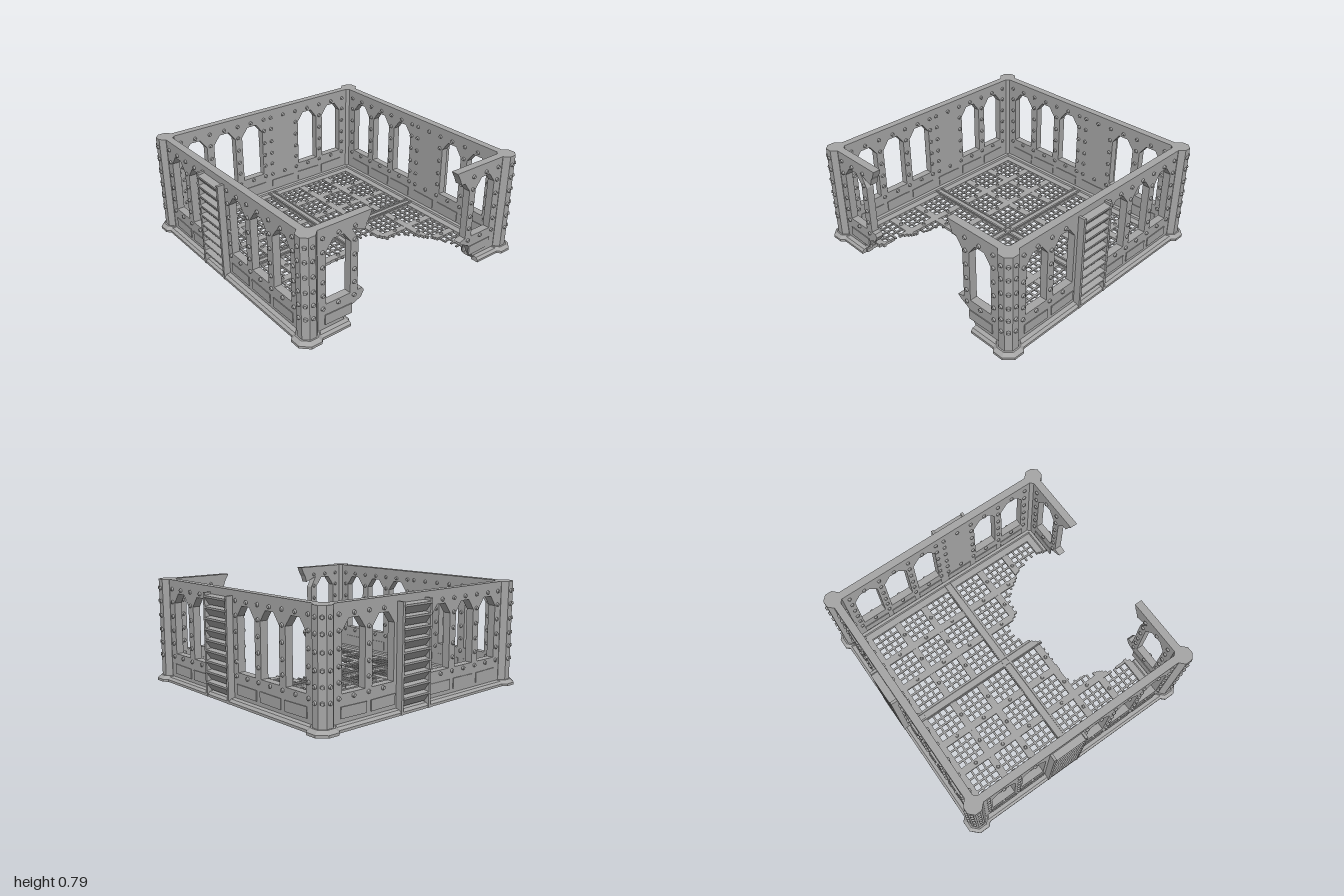
import * as THREE from 'three';
import { mergeGeometries } from 'three/addons/utils/BufferGeometryUtils.js';

const stone = new THREE.MeshStandardMaterial({ color: 0xa6a6a6 });
stone.name = 'grey stone';

const H = 0.79, INNER = 0.866, OUTER = 0.924;
const rivetRows = [0.2, 0.3, 0.4, 0.51, 0.62, 0.72];
const windows = [-0.67, -0.41, 0.15, 0.41, 0.67];

// Outline of the collapsed part of the floor (x, z)
const hole = [[-0.58, 1.05], [-0.6, 0.84], [-0.55, 0.8], [-0.57, 0.65], [-0.5, 0.55], [-0.47, 0.46], [-0.45, 0.36],
  [-0.4, 0.31], [-0.03, 0.33], [0, 0.29], [0.05, 0.23], [0.1, 0.2], [0.17, 0.18], [0.22, 0.19], [0.27, 0.27],
  [0.3, 0.32], [0.43, 0.34], [0.5, 0.42], [0.58, 0.53], [0.63, 0.65], [0.64, 0.75], [0.63, 0.84], [0.62, 1.05]];

function inHole(x, z) {
  let inside = false;
  for (let i = 0, j = hole.length - 1; i < hole.length; j = i++) {
    const [xi, zi] = hole[i], [xj, zj] = hole[j];
    if ((zi > z) !== (zj > z) && x < ((xj - xi) * (z - zi)) / (zj - zi) + xi) inside = !inside;
  }
  return inside;
}

const shapeOf = (pts) => new THREE.Shape(pts.map(([x, y]) => new THREE.Vector2(x, y)));

function add(parent, name, geometries) {
  const mesh = new THREE.Mesh(mergeGeometries(geometries), stone);
  mesh.name = name;
  parent.add(mesh);
}

function box(x0, x1, y0, y1, z0, z1) {
  return new THREE.BoxGeometry(x1 - x0, y1 - y0, z1 - z0).translate((x0 + x1) / 2, (y0 + y1) / 2, (z0 + z1) / 2);
}

// Prism running along u, with its section given as (outward, up)
function prism(pts, u0, u1) {
  return new THREE.ExtrudeGeometry(shapeOf(pts), { depth: u1 - u0, bevelEnabled: false })
    .rotateY(-Math.PI / 2).translate(u1, 0, 0);
}

// Hexagonal rivet pointing along +z (dir 1) or -z (dir -1)
function rivet(u, y, z, dir = 1) {
  return new THREE.CylinderGeometry(0.012, 0.017, 0.016, 6).rotateX(dir * Math.PI / 2).translate(u, y, z + dir * 0.005);
}

// Pointed window outline with a flat tip
function windowPoints(c) {
  const w = 0.098;
  return [[c - w, 0.225], [c + w, 0.225], [c + w, 0.615], [c + 0.042, 0.69], [c - 0.042, 0.69], [c - w, 0.615]];
}

function wallPanel(outline, openings) {
  const shape = shapeOf(outline);
  for (const c of openings) shape.holes.push(shapeOf(windowPoints(c)));
  return new THREE.ExtrudeGeometry(shape, { depth: OUTER - INNER, bevelEnabled: false }).translate(0, 0, INNER);
}

function createWall(broken) {
  const wall = new THREE.Group();
  const gone = (u) => broken && Math.abs(u) < 0.52;

  // Pierced wall, with ragged ends where it has collapsed
  if (broken) {
    add(wall, 'brokenWall', [
      wallPanel([[-0.9, 0.02], [-0.61, 0.02], [-0.63, 0.06], [-0.57, 0.12], [-0.48, 0.155], [-0.455, 0.2], [-0.47, 0.225],
        [-0.51, 0.225], [-0.51, 0.61], [-0.56, 0.7], [-0.455, 0.66], [-0.44, 0.71], [-0.42, 0.74], [-0.4, H], [-0.9, H]], [-0.67]),
      wallPanel([[0.9, 0.02], [0.9, H], [0.37, H], [0.4, 0.74], [0.42, 0.69], [0.455, 0.69], [0.51, 0.615], [0.51, 0.225],
        [0.45, 0.21], [0.48, 0.185], [0.55, 0.15], [0.59, 0.08], [0.62, 0.02]], [0.67]),
    ]);
  } else {
    add(wall, 'wall', [wallPanel([[-0.9, 0.02], [0.9, 0.02], [0.9, H], [-0.9, H]], windows)]);
  }

  // Moulded base along the outside, ledge along the inside
  const plinth = [[0.91, 0], [0.972, 0], [0.972, 0.018], [0.955, 0.035], [0.91, 0.042]];
  const ledge = [[0.83, 0.01], [0.88, 0.01], [0.88, 0.055], [0.845, 0.045]];
  const spans = broken ? [[-0.9, -0.6], [0.62, 0.9]] : [[-0.9, 0.9]];
  add(wall, 'plinth', spans.flatMap(([a, b]) => [prism(plinth, a, b), prism(ledge, a, b)]));

  // Rivets on both faces
  const rivets = [];
  const stud = (u, y) => {
    if (gone(u)) return;
    rivets.push(rivet(u, y, INNER, -1));
    if (u < -0.3 || u > 0.01) rivets.push(rivet(u, y, OUTER));
  };
  for (const s of [-1, 1]) {
    for (const u of [0.795, 0.54, 0.285, 0.035]) for (const y of rivetRows) stud(s * u, y);
    for (const u of [0.67, 0.41, 0.16]) for (const y of [0.2, 0.72]) stud(s * u, y);
  }
  add(wall, 'rivets', rivets);

  // Worn masonry slabs under the windows
  const slabs = [];
  for (const c of [...windows, -0.14]) {
    if (gone(c)) continue;
    const tilt = 0.02 * Math.sin(c * 40);
    for (const z of [INNER, OUTER]) {
      slabs.push(new THREE.BoxGeometry(0.22, 0.075, 0.012).rotateZ(tilt).translate(c, 0.105, z));
    }
  }
  add(wall, 'slabs', slabs);

  // Louvred shutter between two posts
  if (!broken) {
    const slats = [];
    for (let i = 0; i < 9; i++) {
      const y = 0.045 + i * 0.077;
      slats.push(prism([[0.91, y], [0.938, y], [0.978, y + 0.055], [0.978, y + 0.068], [0.91, y + 0.077]], -0.27, -0.01));
    }
    add(wall, 'shutterSlats', slats);
    add(wall, 'shutterPosts', [-0.276, -0.009].map((u) => box(u - 0.01, u + 0.01, 0, 0.75, 0.91, 0.975)));
  }
  return wall;
}

function createCorner() {
  const corner = new THREE.Group();
  corner.name = 'cornerColumn';
  // Octagonal pillar, given its flat-to-flat half width
  const octagon = (top, bottom, y0, y1) => {
    const k = 1 / Math.cos(Math.PI / 8);
    return new THREE.CylinderGeometry(top * k, bottom * k, y1 - y0, 8).toNonIndexed()
      .rotateY(Math.PI / 8).translate(0.9, (y0 + y1) / 2, 0.9);
  };
  const shaft = octagon(0.064, 0.064, 0, H);
  const foot = [octagon(0.1, 0.1, 0, 0.018), octagon(0.075, 0.1, 0.018, 0.042)];
  for (const g of [shaft, ...foot]) g.computeVertexNormals();
  add(corner, 'shaft', [shaft]);
  add(corner, 'foot', foot);
  const studs = [];
  for (let a = 0; a < 3; a++) {
    for (const y of rivetRows) studs.push(rivet(0, y, 0.064).rotateY(a * Math.PI / 4).translate(0.9, 0, 0.9));
  }
  add(corner, 'columnRivets', studs);
  return corner;
}

function createFloor() {
  const floor = new THREE.Group();
  floor.name = 'floor';

  // Bar along x or z, cut off wherever the floor has collapsed
  function bar(list, alongX, c, w, a, b, y0, y1) {
    const n = Math.ceil(w / 0.025), sw = w / n, steps = Math.round((b - a) / 0.008);
    for (let s = 0; s < n; s++) {
      const m = c - w / 2 + (s + 0.5) * sw;
      let start = null;
      for (let i = 0; i <= steps; i++) {
        const t = a + ((b - a) * i) / steps;
        const solid = !(alongX ? inHole(t, m) : inHole(m, t));
        if (solid && start === null) start = t;
        if (start !== null && (!solid || i === steps)) {
          if (t - start > 0.004) {
            list.push(alongX ? box(start, t, y0, y1, m - sw / 2, m + sw / 2) : box(m - sw / 2, m + sw / 2, y0, y1, start, t));
          }
          start = null;
        }
      }
    }
  }

  const frame = [], straps = [], lattice = [], rivets = [];
  // Outer border and central cross beams
  for (const s of [-1, 1]) {
    bar(frame, true, s * 0.86, 0.15, -0.93, 0.93, 0.003, 0.032);
    bar(frame, false, s * 0.86, 0.15, -0.785, 0.785, 0.003, 0.032);
  }
  for (const alongX of [true, false]) {
    const lift = alongX ? 0 : 0.0015;
    bar(frame, alongX, 0, 0.08, -0.785, 0.785, 0.003 + lift, 0.034 + lift);
    for (const s of [-1, 1]) bar(frame, alongX, s * 0.027, 0.014, -0.84, 0.84, 0.02, 0.044 + lift);

    for (const s of [-1, 1]) {
      // Riveted straps dividing each quarter into nine cells
      for (const c of [0.285, 0.545]) {
        bar(straps, alongX, s * c, 0.058, -0.785, 0.785, 0.006 + lift, 0.028 + lift);
        for (const t of [-0.67, -0.415, -0.16, 0.16, 0.415, 0.67]) {
          const [x, z] = alongX ? [t, s * c] : [s * c, t];
          if (!inHole(x, z) && !inHole(x, z + 0.03)) {
            rivets.push(new THREE.CylinderGeometry(0.011, 0.016, 0.014, 6).translate(x, 0.034, z));
          }
        }
      }
      // Fine grating inside the cells
      for (const c of [0.147, 0.415, 0.68]) {
        for (const d of [-0.054, 0, 0.054]) {
          bar(lattice, alongX, s * (c + d), 0.015, -0.785, 0.785, 0.009 + lift, 0.02 + lift);
        }
      }
    }
  }
  add(floor, 'floorFrame', frame);
  add(floor, 'floorStraps', straps);
  add(floor, 'grating', lattice);
  add(floor, 'floorRivets', rivets);
  return floor;
}

export function createModel() {
  const model = new THREE.Group();
  model.name = 'ruinedBuildingFloor';
  ['frontWall', 'leftWall', 'backWall', 'rightWall'].forEach((name, i) => {
    const wall = createWall(i === 0);
    wall.name = name;
    const corner = createCorner();
    wall.rotation.y = corner.rotation.y = (i * Math.PI) / 2;
    model.add(wall, corner);
  });
  model.add(createFloor());
  return model;
}
